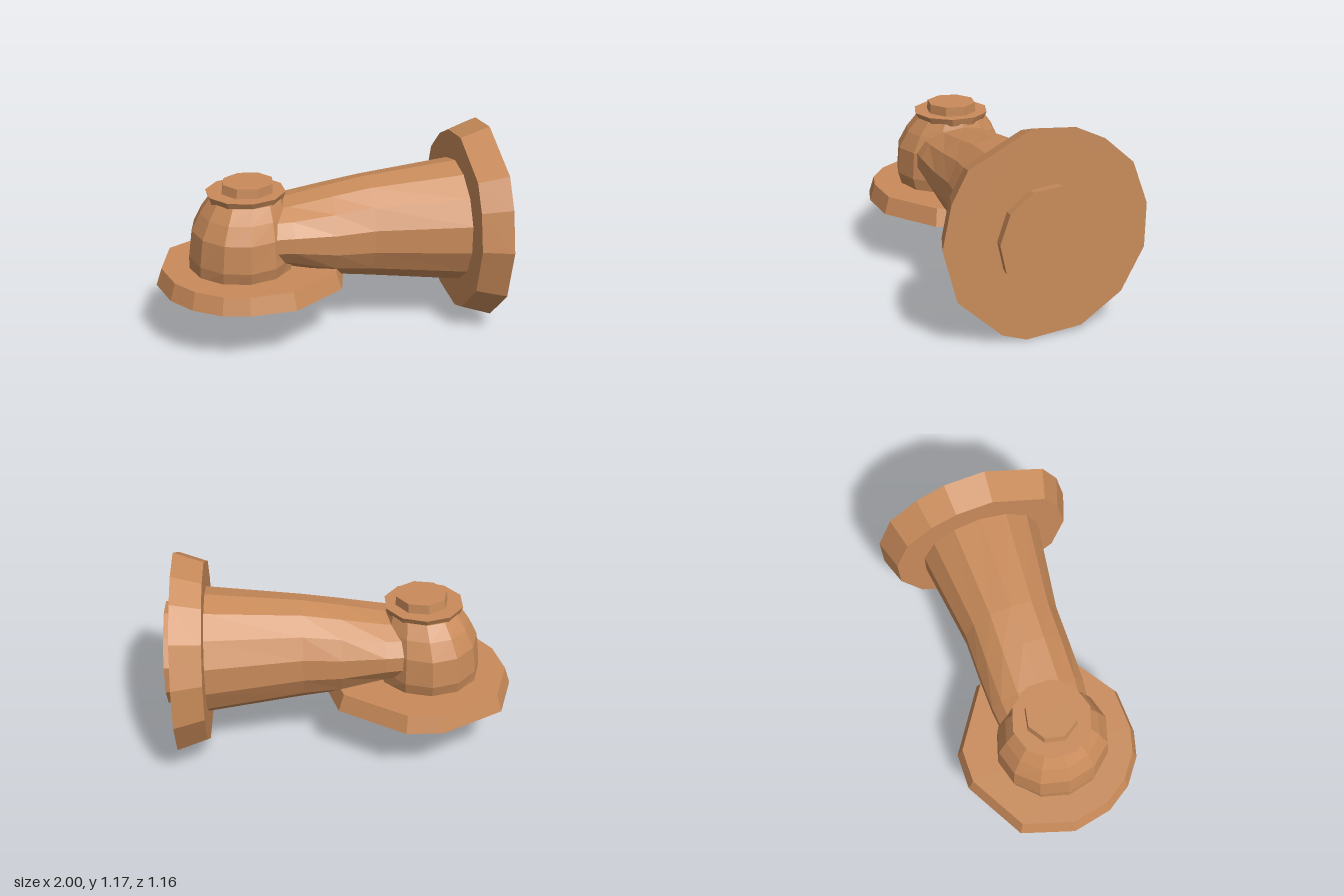
import * as THREE from 'three';

const clay = new THREE.MeshStandardMaterial({ color: 0xc98b5a, flatShading: true });
clay.name = 'clay brown';

// Skin through closed rings of equal length, with a fan cap at both ends.
// Rings turn counter-clockwise about the direction of travel.
function loft(name, rings) {
  const n = rings[0].length;
  const pos = [];
  const tri = (...p) => p.forEach((v) => pos.push(v.x, v.y, v.z));
  for (let r = 0; r + 1 < rings.length; r++) {
    for (let i = 0; i < n; i++) {
      const j = (i + 1) % n;
      const a = rings[r], b = rings[r + 1];
      tri(a[i], a[j], b[j]);
      tri(a[i], b[j], b[i]);
    }
  }
  const first = rings[0], last = rings[rings.length - 1];
  for (let i = 1; i + 1 < n; i++) {
    tri(first[0], first[i + 1], first[i]);
    tri(last[0], last[i], last[i + 1]);
  }
  const geo = new THREE.BufferGeometry();
  geo.setAttribute('position', new THREE.Float32BufferAttribute(pos, 3));
  geo.computeVertexNormals();
  const mesh = new THREE.Mesh(geo, clay);
  mesh.name = name;
  return mesh;
}

// Oval ring facing +x
const ringX = (x, cy, ry, rz, n = 14, turn = 0) =>
  Array.from({ length: n }, (_, i) => {
    const a = (i / n) * Math.PI * 2 + turn;
    return new THREE.Vector3(x, cy + ry * Math.cos(a), rz * Math.sin(a));
  });

// Oval ring facing +y
const ringY = (y, cx, rx, rz, n = 12, turn = 0, cz = 0) =>
  Array.from({ length: n }, (_, i) => {
    const a = (i / n) * Math.PI * 2 + turn;
    return new THREE.Vector3(cx + rx * Math.sin(a), y, cz + rz * Math.cos(a));
  });

// Uneven rim of the large end flange, as [z, y]
const endRim = [
  [0.09, 1.17], [0.44, 0.99], [0.53, 0.82], [0.58, 0.58], [0.5, 0.28], [0.25, 0.05], [0.11, 0.0],
  [-0.21, 0.03], [-0.445, 0.19], [-0.575, 0.43], [-0.58, 0.68], [-0.49, 0.92], [-0.32, 1.07], [-0.15, 1.15],
];
const endRing = (x, s) =>
  endRim.map(([z, y]) => new THREE.Vector3(x, 0.585 + (y - 0.585) * s, z * s));

// Uneven rim of the base flange, as [x, z]
const baseRim = [
  [-0.55, 0.5], [-0.29, 0.49], [0.02, 0.28], [0.1, 0], [0.02, -0.29], [-0.35, -0.53],
  [-0.56, -0.53], [-0.91, -0.33], [-1, -0.03], [-0.95, 0.2], [-0.85, 0.35], [-0.7, 0.46],
];
const baseRing = (y, s) =>
  baseRim.map(([x, z]) => new THREE.Vector3(-0.47 + (x + 0.47) * s, y, z * s));

export function createModel() {
  const model = new THREE.Group();
  model.name = 'pipeElbow';

  // Flared horizontal pipe
  model.add(loft('pipe', [
    ringX(-0.5, 0.62, 0.18, 0.25),
    ringX(-0.25, 0.62, 0.2, 0.28),
    ringX(0.0, 0.6, 0.265, 0.285),
    ringX(0.22, 0.6, 0.3, 0.285),
    ringX(0.78, 0.585, 0.365, 0.365),
  ]));

  // Large end flange and the plug on its face
  model.add(loft('endFlange', [endRing(0.77, 0.9), endRing(0.94, 1)]));
  model.add(loft('endPlug', [
    ringX(0.92, 0.57, 0.29, 0.28, 11, -0.2),
    ringX(1.0, 0.57, 0.3, 0.29, 11, -0.2),
  ]));

  // Rounded elbow body
  model.add(loft('elbow', [
    ringY(0.4, -0.51, 0.3, 0.3),
    ringY(0.5, -0.51, 0.3, 0.33),
    ringY(0.66, -0.505, 0.285, 0.32),
    ringY(0.76, -0.49, 0.25, 0.27),
    ringY(0.84, -0.475, 0.21, 0.21),
  ]));

  // Base flange, hollowed underneath
  model.add(loft('baseFlange', [
    baseRing(0.4, 0.48),
    baseRing(0.33, 0.55),
    baseRing(0.33, 1),
    baseRing(0.43, 0.94),
  ]));

  // Collar and cap on top of the elbow
  model.add(loft('collar', [
    ringY(0.83, -0.475, 0.215, 0.2, 10),
    ringY(0.875, -0.475, 0.23, 0.225, 10),
  ]));
  model.add(loft('cap', [
    ringY(0.87, -0.465, 0.155, 0.15, 8, 0.2),
    ringY(0.93, -0.46, 0.15, 0.145, 8, 0.2),
  ]));

  return model;
}
